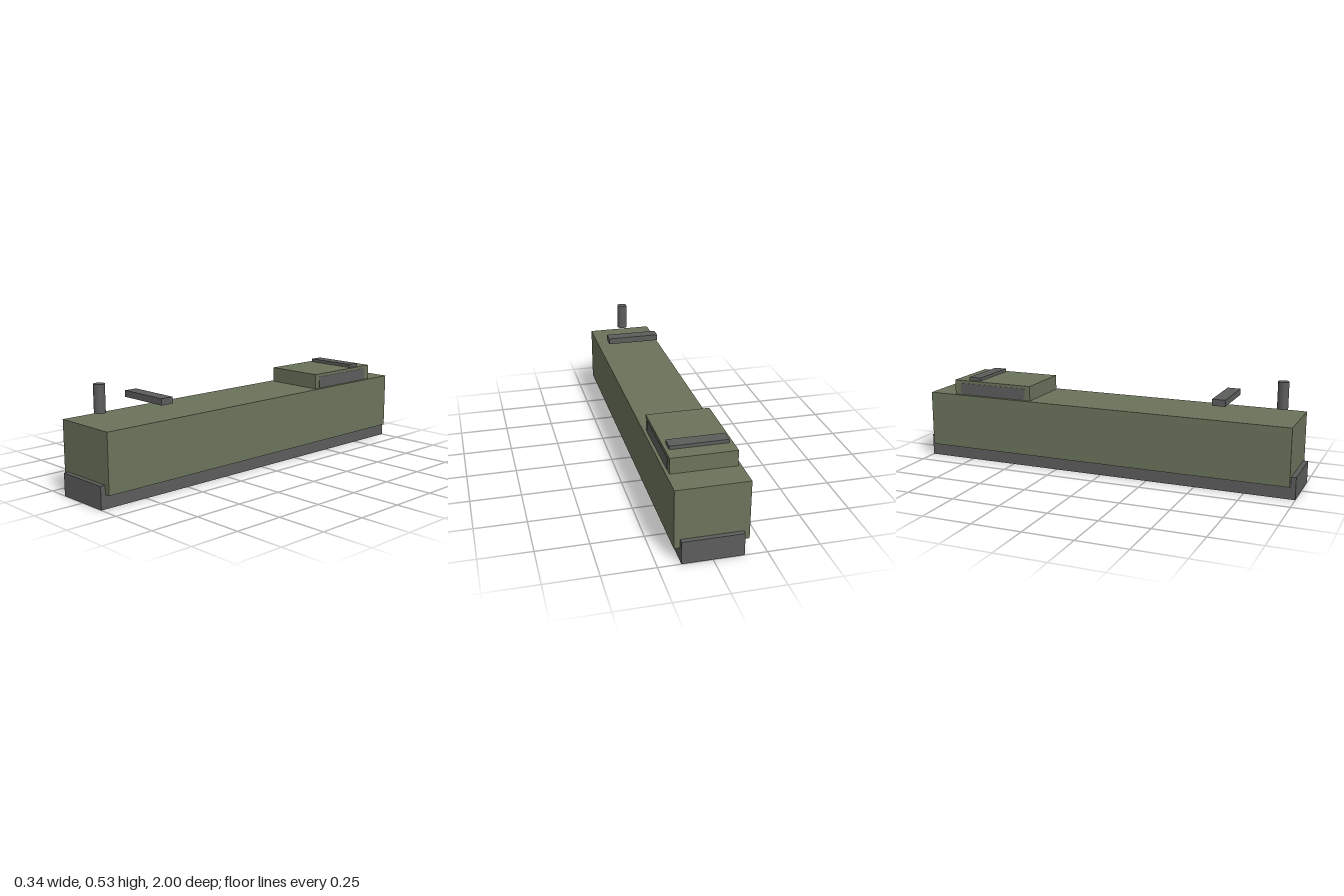
import * as THREE from 'three';

export function createModel() {
  const group = new THREE.Group();
  const olive = new THREE.MeshStandardMaterial({ color: 0x6b735b });
  olive.name = 'olive green';
  const grey = new THREE.MeshStandardMaterial({ color: 0x5b5d5b });
  grey.name = 'dark grey';

  const add = (name, geometry, material, x, y, z) => {
    const mesh = new THREE.Mesh(geometry, material);
    mesh.name = name;
    mesh.position.set(x, y, z);
    group.add(mesh);
  };
  // Box given by its width, vertical range and depth range, centred on x
  const box = (name, material, width, y0, y1, z0, z1, x = 0) =>
    add(name, new THREE.BoxGeometry(width, y1 - y0, z1 - z0), material,
      x, (y0 + y1) / 2, (z0 + z1) / 2);

  // Underframe and long body
  box('underframe', grey, 0.288, 0, 0.111, -1, 1);
  box('body', olive, 0.344, 0.068, 0.356, -0.976, 0.976);

  // Raised cabin with a window strip on each side
  box('cabin', olive, 0.312, 0.356, 0.433, -0.835, -0.39);
  for (const side of [-1, 1]) {
    box(side > 0 ? 'leftWindow' : 'rightWindow', grey,
      0.004, 0.358, 0.418, -0.8, -0.42, side * 0.156);
  }

  // Cross bars above the roof
  box('frontCrossBar', grey, 0.276, 0.418, 0.45, 0.579, 0.645);
  box('rearCrossBar', grey, 0.276, 0.418, 0.45, -0.757, -0.691);

  // Exhaust stack
  add('exhaustStack', new THREE.CylinderGeometry(0.027, 0.027, 0.133, 16), grey, 0, 0.4675, 0.89);

  return group;
}
